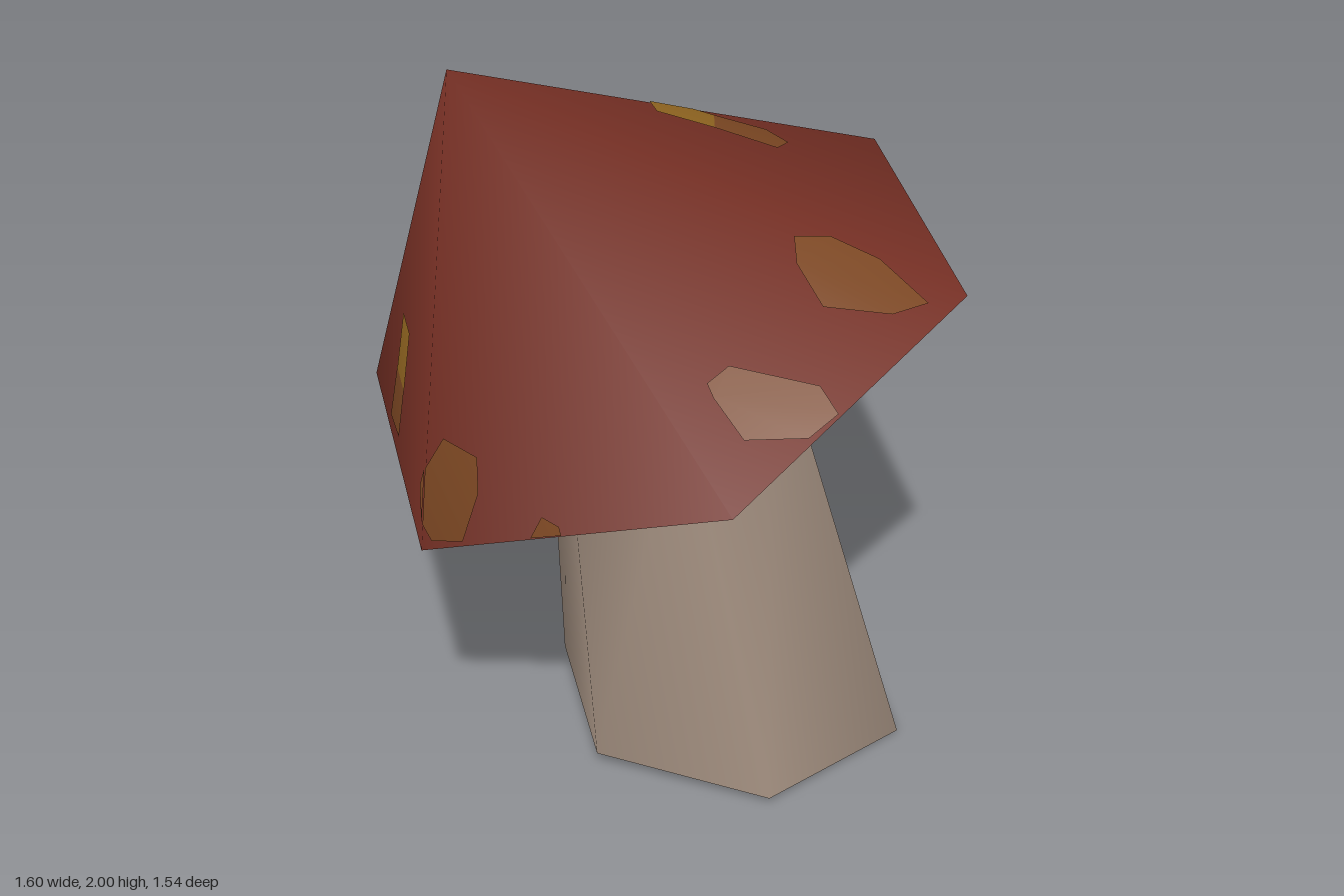
import * as THREE from 'three';

const V = (x, y, z) => new THREE.Vector3(x, y, z);
const mat = (name, color) => {
  const m = new THREE.MeshStandardMaterial({ color, side: THREE.DoubleSide });
  m.name = name;
  return m;
};

// Six points around a centre, spanned by two half-axes
function hexRing(c, u, v) {
  return Array.from({ length: 6 }, (_, i) => c.clone()
    .addScaledVector(u, Math.cos(i * Math.PI / 3))
    .addScaledVector(v, Math.sin(i * Math.PI / 3)));
}

// Tilted hollow cap
const APEX = V(-0.4, 2, 0.33);
const CENTRE = V(0, 1.19, 0);
const AXIS = APEX.clone().sub(CENTRE).normalize();
const HEIGHT = APEX.distanceTo(CENTRE);
const RADIUS = 0.857;
const RIM = hexRing(CENTRE, V(0.8, 0.28, -0.115), V(0.173, -0.162, 0.823));

// Smooth cone normal at any point of the cap
function capNormal(p) {
  const d = p.clone().sub(CENTRE);
  const h = d.dot(AXIS);
  const t = 1 - h / HEIGHT;
  return d.addScaledVector(AXIS, -h).multiplyScalar(0.78 / RADIUS)
    .addScaledVector(AXIS, 1 - t + t * 0.62).normalize();
}

function geometry(points, index, normals) {
  const g = new THREE.BufferGeometry().setFromPoints(points);
  g.setIndex(index);
  if (normals) g.setAttribute('normal', new THREE.Float32BufferAttribute(normals.flatMap(n => n.toArray()), 3));
  else g.computeVertexNormals();
  return g;
}

function capGeometry() {
  const points = [APEX, ...RIM];
  const index = [];
  for (let i = 0; i < 6; i++) index.push(0, 1 + (i + 1) % 6, 1 + i);
  return geometry(points, index, points.map(capNormal));
}

// Spot outline in plan (xz) or elevation (xy), dropped onto a cap face
function spotGeometry(face, plane, outline, offset) {
  const n = RIM[(face + 1) % 6].clone().sub(APEX).cross(RIM[face].clone().sub(APEX)).normalize();
  const flat = outline.map(([a, b]) => {
    const x = a - APEX.x;
    if (plane === 'xz') return V(a, APEX.y - (n.x * x + n.z * (b - APEX.z)) / n.y, b);
    return V(a, b, APEX.z - (n.x * x + n.y * (b - APEX.y)) / n.z);
  });
  const turn = flat[1].clone().sub(flat[0]).cross(flat[2].clone().sub(flat[0]));
  if (turn.dot(n) < 0) flat.reverse();
  const normals = flat.map(capNormal);
  const index = [];
  for (let i = 1; i < flat.length - 1; i++) index.push(0, i, i + 1);
  return geometry(flat.map(p => p.addScaledVector(n, offset)), index, normals);
}

// Leaning, tapering hollow stem
function stemGeometry() {
  const bottom = hexRing(V(0.155, 0.02, -0.13), V(0.485, -0.02, -0.07), V(0.084, 0.012, 0.479));
  const top = hexRing(V(0, 1.19, 0), V(0.305, 0.11, -0.05), V(0.055, -0.064, 0.312));
  const index = [];
  for (let i = 0; i < 6; i++) {
    const j = (i + 1) % 6;
    index.push(i, 6 + i, j, 6 + i, 6 + j, j);
  }
  return geometry([...bottom, ...top], index);
}

export function createModel() {
  const model = new THREE.Group();
  model.name = 'mushroom';
  const capRed = mat('capRed', 0x752f24);
  const stemBeige = mat('stemBeige', 0xa08d7e);
  const gold = mat('goldSpot', 0x8f6420);
  const rust = mat('rustSpot', 0x7a4622);

  const add = (name, geo, material) => {
    const mesh = new THREE.Mesh(geo, material);
    mesh.name = name;
    model.add(mesh);
  };
  add('stem', stemGeometry(), stemBeige);
  add('cap', capGeometry(), capRed);

  // Spots: face, projection, colour, outline
  const spots = [
    [0, 'xz', rust, [[0.41, 0.065], [0.48, 0.005], [0.595, -0.035], [0.73, -0.035], [0.67, 0.045], [0.53, 0.145], [0.44, 0.11]]],
    [0, 'xz', rust, [[0.38, 0.465], [0.405, 0.4], [0.595, 0.29], [0.655, 0.31], [0.62, 0.4], [0.5, 0.505], [0.405, 0.48]]],
    [5, 'xz', gold, [[-0.11, -0.16], [-0.07, -0.125], [0.04, -0.23], [0, -0.305], [-0.04, -0.27]]],
    [5, 'xz', rust, [[0, -0.305], [0.1, -0.405], [0.165, -0.405], [0.17, -0.33], [0.04, -0.23]]],
    [3, 'xz', gold, [[-0.52, -0.21], [-0.486, -0.24], [-0.464, -0.09], [-0.5, -0.09], [-0.52, -0.15]]],
    [4, 'xz', gold, [[-0.486, -0.24], [-0.46, -0.22], [-0.455, -0.17], [-0.464, -0.09]]],
    [3, 'xz', rust, [[-0.64, -0.27], [-0.61, -0.295], [-0.575, -0.26], [-0.575, -0.17], [-0.605, -0.135], [-0.635, -0.17]]],
    [2, 'xy', gold, [[-0.575, 1.257], [-0.505, 1.257], [-0.51, 1.1], [-0.587, 1.1]]],
    [2, 'xy', rust, [[-0.59, 1.1], [-0.512, 1.1], [-0.52, 0.97], [-0.61, 0.955]]],
    [1, 'xy', rust, [[-0.276, 1.1], [-0.24, 1.18], [-0.14, 1.16], [-0.12, 1.08], [-0.14, 0.96], [-0.225, 0.94], [-0.257, 0.97]]],
    [2, 'xy', rust, [[-0.276, 1.1], [-0.3, 1.035], [-0.257, 0.97]]],
    [1, 'xy', rust, [[0.04, 1.015], [0.06, 1.07], [0.11, 1.06], [0.12, 1.042]]],
  ];
  for (const [face, plane, material, outline] of spots) {
    add('outerSpot', spotGeometry(face, plane, outline, 0.004), material);
    add('innerSpot', spotGeometry(face, plane, outline, -0.004), material);
  }
  return model;
}
